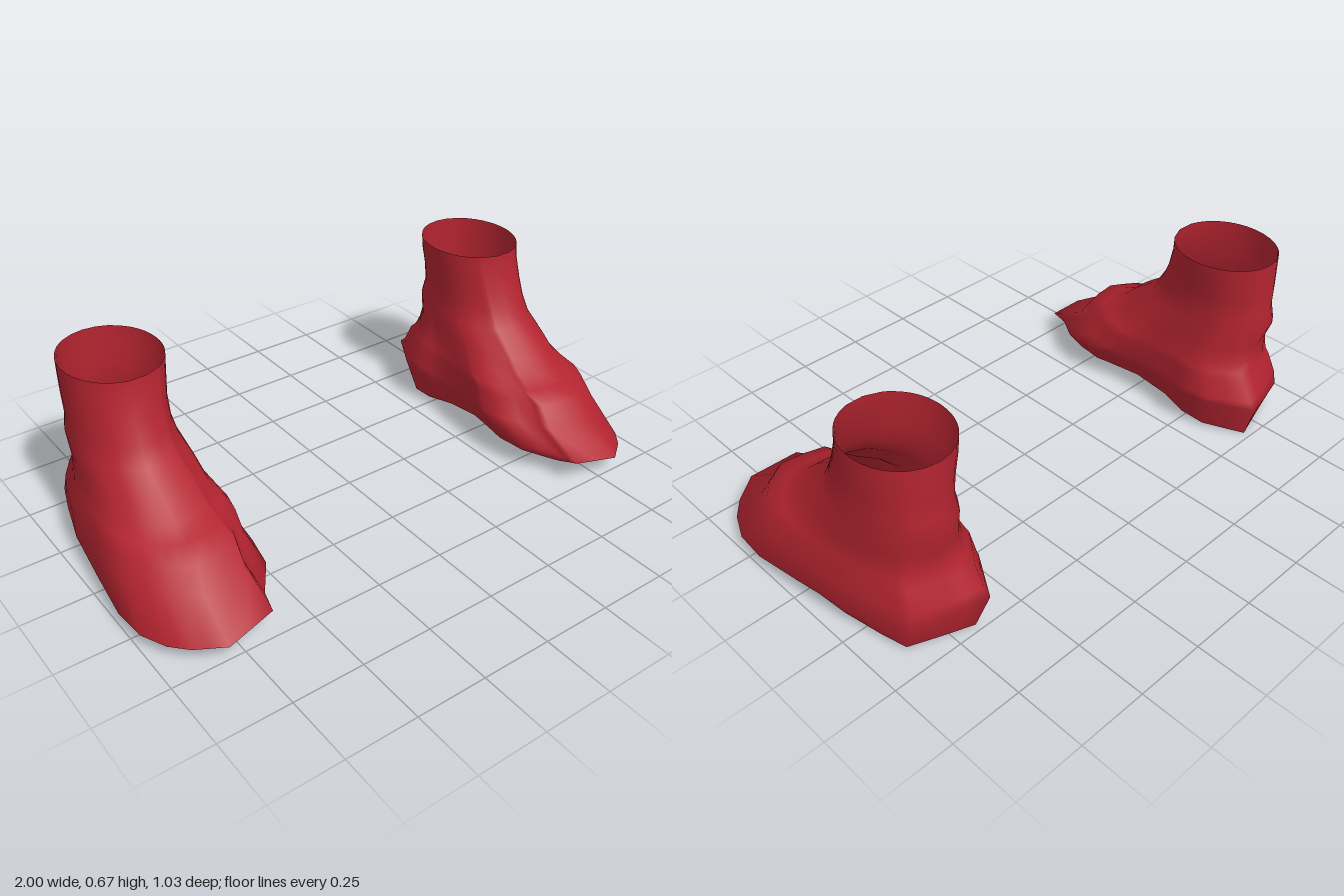
import * as THREE from 'three';

// Widest foot outline seen from above (x, z): outer side, toes, inner side, heel
const OUTLINE = [
  [0.98, 0], [1.0, 0.18], [0.99, 0.3], [0.95, 0.39], [0.9, 0.45], [0.81, 0.515], [0.64, 0.485],
  [0.62, 0.41], [0.55, 0.31], [0.53, 0.2], [0.55, 0.1], [0.57, 0], [0.57, -0.15], [0.545, -0.27],
  [0.555, -0.37], [0.645, -0.52], [0.77, -0.48], [0.885, -0.44], [0.915, -0.35], [0.955, -0.2],
];

// Upper levels: height, back z, front z, inner x, outer x, ellipse-to-outline blend
const LEVELS = [
  [0.67, -0.44, -0.06, 0.575, 0.905, 0],
  [0.62, -0.44, -0.055, 0.58, 0.905, 0],
  [0.54, -0.44, -0.03, 0.595, 0.905, 0],
  [0.47, -0.44, 0.0, 0.6, 0.905, 0.05],
  [0.41, -0.455, 0.035, 0.59, 0.915, 0.12],
  [0.34, -0.435, 0.13, 0.575, 0.925, 0.3],
  [0.29, -0.442, 0.185, 0.565, 0.935, 0.45],
  [0.257, -0.45, 0.25, 0.55, 0.95, 0.6],
  [0.232, -0.468, 0.325, 0.54, 0.965, 0.75],
  [0.16, -0.5, 0.375, 0.535, 0.985, 0.9],
];

// Height of the arched underside along the foot (z, y)
const ARCH = [[-0.55, 0], [-0.47, 0], [0, 0.057], [0.15, 0.045], [0.37, 0.01], [0.55, 0.06]];

function archHeight(z) {
  const i = Math.max(1, ARCH.findIndex((p) => p[0] >= z));
  const [a, b] = [ARCH[i - 1], ARCH[i]];
  return THREE.MathUtils.lerp(a[1], b[1], (z - a[0]) / (b[0] - a[0]));
}

// Outline scaled to -1..1, with a midpoint on each edge
const unit = OUTLINE.flatMap(([x, z], i) => {
  const [nx, nz] = OUTLINE[(i + 1) % OUTLINE.length];
  return [[x, z], [(x + nx) / 2, (z + nz) / 2]];
}).map(([x, z]) => [(x - 0.765) / 0.235, z / 0.52]);

function ring(back, front, inner, outer, blend, height) {
  return unit.map(([u, v]) => {
    const a = Math.atan2(v, u);
    const x = (inner + outer) / 2 + (outer - inner) / 2 * THREE.MathUtils.lerp(Math.cos(a), u, blend);
    const z = (back + front) / 2 + (front - back) / 2 * THREE.MathUtils.lerp(Math.sin(a), v, blend);
    return [x, height(x, z), z];
  });
}

// Skin between closed rings, mirrored for the other foot
function loft(rings, side) {
  const n = unit.length;
  const index = [];
  for (let r = 0; r < rings.length - 1; r++) {
    for (let j = 0; j < n; j++) {
      const a = r * n + j, b = r * n + (j + 1) % n, c = a + n, d = b + n;
      if (side > 0) index.push(a, b, c, b, d, c);
      else index.push(a, c, b, b, c, d);
    }
  }
  const points = rings.flat().map(([x, y, z]) => [x * side, y, z]);
  const geometry = new THREE.BufferGeometry();
  geometry.setAttribute('position', new THREE.Float32BufferAttribute(points.flat(), 3));
  geometry.setIndex(index);
  geometry.computeVertexNormals();
  return geometry;
}

export function createModel() {
  const red = new THREE.MeshStandardMaterial({ color: 0xb32430, side: THREE.DoubleSide });
  red.name = 'red';

  // Ankle and instep, then the flared rim, then the lower edge of the foot
  const upper = LEVELS.map(([y, ...box]) => ring(...box, () => y));
  upper.push(ring(-0.52, 0.52, 0.53, 1.0, 1, (x, z) => 0.095 - 0.048 * z - 0.15 * (x - 0.765)));
  const edge = ring(-0.475, 0.46, 0.565, 0.98, 1,
    (x, z) => archHeight(z) + (z > 0 ? 0.03 * Math.min(1, z * 4) : 0));
  upper.push(edge);

  // Arched underside, closing on a point
  const bottom = [edge];
  for (const s of [0.75, 0.4, 0]) {
    bottom.push(ring(-0.47 * s, 0.45 * s, 0.765 - 0.2 * s, 0.765 + 0.2 * s, 1, (x, z) => archHeight(z)));
  }

  const model = new THREE.Group();
  model.name = 'pairOfBoots';
  for (const [name, side] of [['leftBoot', 1], ['rightBoot', -1]]) {
    const boot = new THREE.Group();
    boot.name = name;
    for (const [part, rings] of [['upper', upper], ['sole', bottom]]) {
      const mesh = new THREE.Mesh(loft(rings, side), red);
      mesh.name = part;
      boot.add(mesh);
    }
    model.add(boot);
  }
  return model;
}
